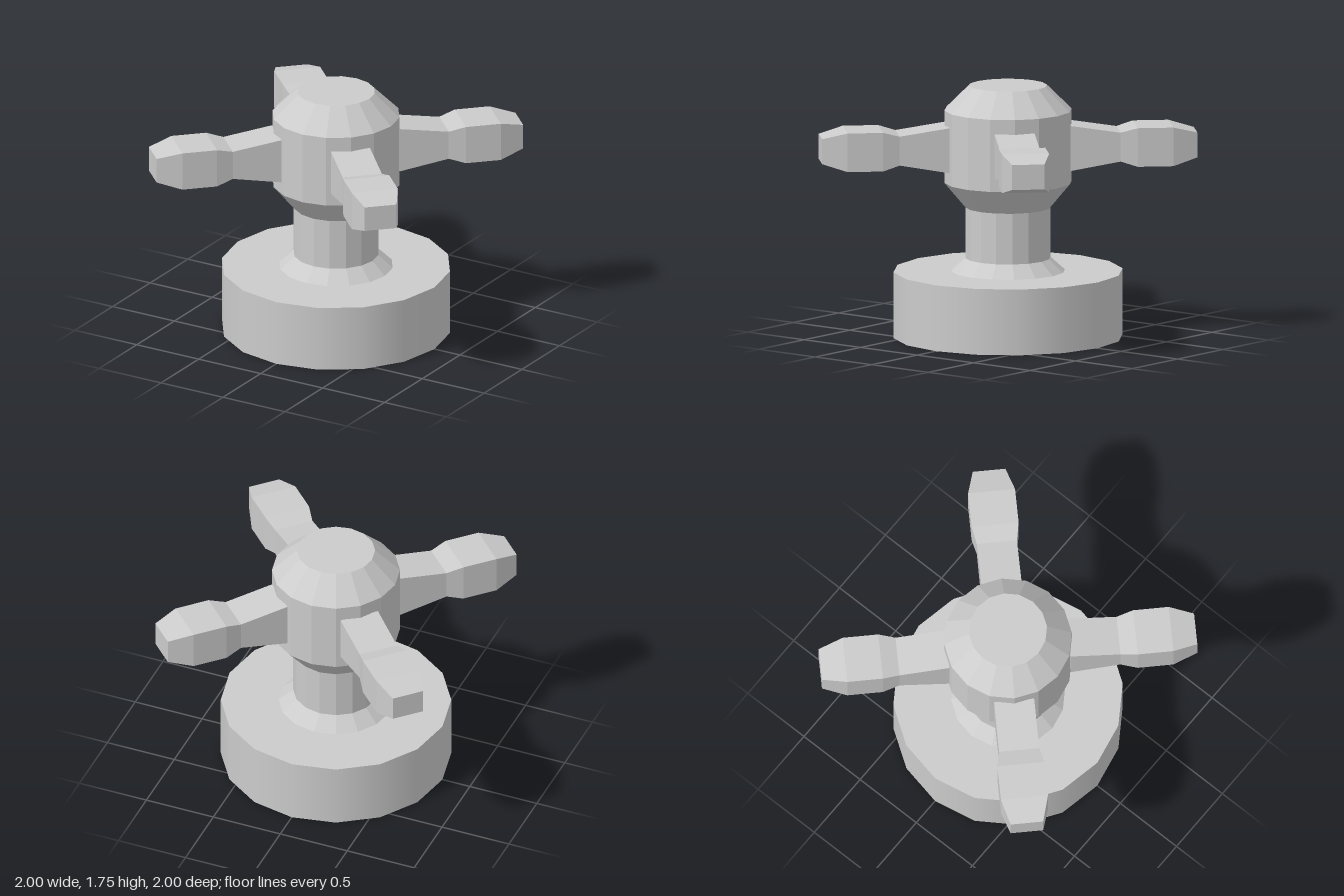
import * as THREE from 'three';

const SIDES = 16;
const flat = new THREE.MeshStandardMaterial({ color: 0xcccccc, flatShading: true });
const smooth = new THREE.MeshStandardMaterial({ color: 0xcccccc });

function lathe(name, profile) {
  const points = profile.map(([r, y]) => new THREE.Vector2(r, y));
  const mesh = new THREE.Mesh(new THREE.LatheGeometry(points, SIDES), flat);
  mesh.name = name;
  return mesh;
}

// Spoke stations from hub to tip: [distance, half width, bottom, top]
const STATIONS = [
  [0.42, 0.139, 1.17, 1.485],
  [0.766, 0.139, 1.23, 1.432],
  [0.883, 0.163, 1.195, 1.465],
  [1.13, 0.163, 1.195, 1.465],
  [1.301, 0.113, 1.245, 1.42],
];

// A segmented box whose rectangular sections follow the stations
function spokeGeometry() {
  const segments = STATIONS.length - 1;
  const geometry = new THREE.BoxGeometry(segments, 2, 2, segments, 1, 1);
  const pos = geometry.attributes.position;
  for (let i = 0; i < pos.count; i++) {
    const [r, w, bottom, top] = STATIONS[Math.round(pos.getX(i) + segments / 2)];
    pos.setXYZ(i, r, pos.getY(i) > 0 ? top : bottom, Math.sign(pos.getZ(i)) * w);
  }
  geometry.computeVertexNormals();
  return geometry;
}

export function createModel() {
  const model = new THREE.Group();
  model.name = 'tapHandle';

  // Wide round base
  const base = new THREE.Mesh(new THREE.CylinderGeometry(0.795, 0.795, 0.46, SIDES), smooth);
  base.name = 'base';
  base.position.y = 0.23;
  model.add(base);

  // Stem with flared foot, and the bevelled hub on top
  model.add(lathe('stem', [[0.395, 0.46], [0.295, 0.55], [0.295, 0.905]]));
  model.add(lathe('hub', [[0.295, 0.905], [0.442, 1.08], [0.442, 1.585], [0.27, 1.755], [0, 1.755]]));

  // Four diagonal grips
  const geometry = spokeGeometry();
  for (let i = 0; i < 4; i++) {
    const spoke = new THREE.Mesh(geometry, flat);
    spoke.name = `spoke${i + 1}`;
    spoke.rotation.y = Math.PI / 4 + (i * Math.PI) / 2;
    model.add(spoke);
  }
  return model;
}
